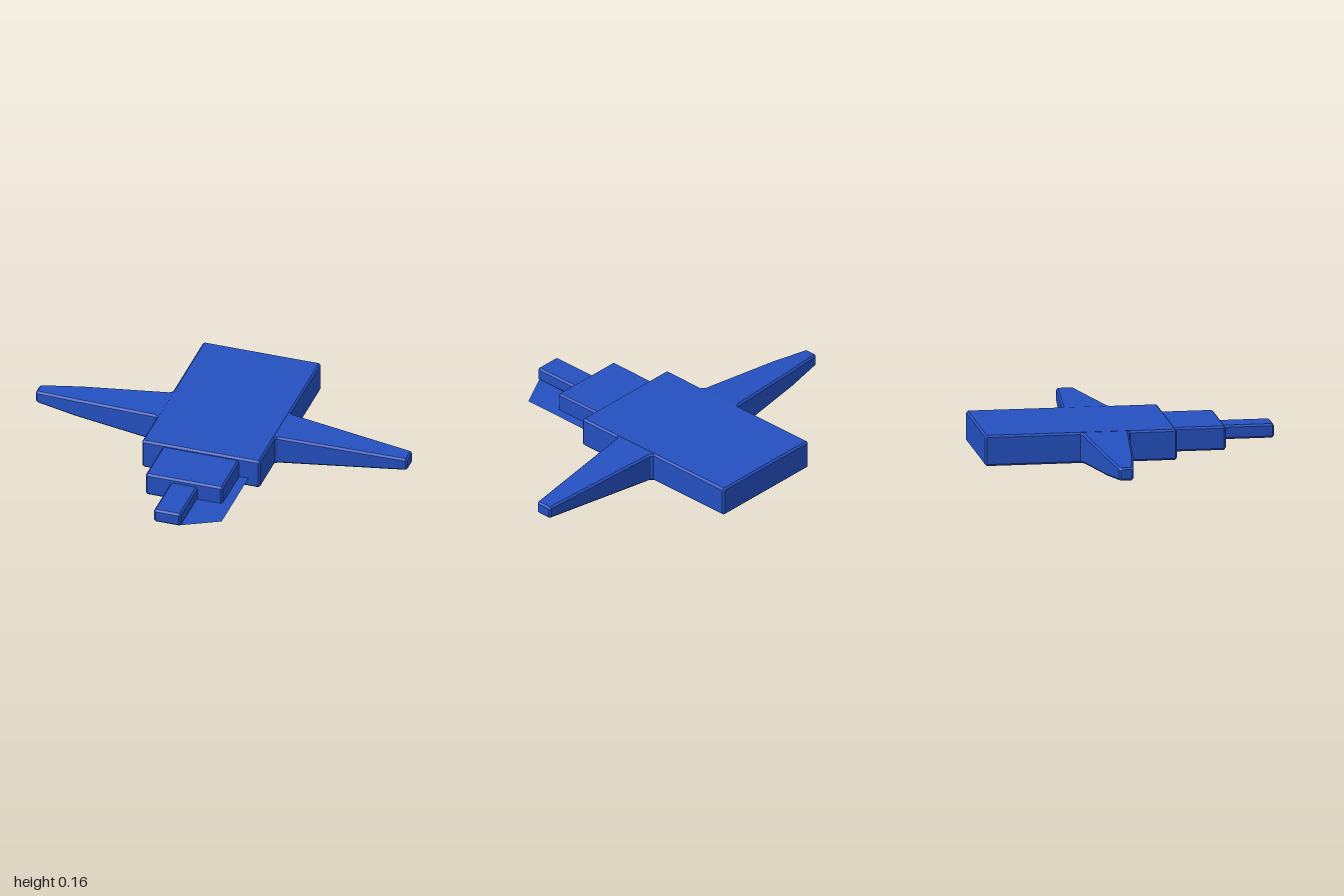
import * as THREE from 'three';

const material = new THREE.MeshStandardMaterial({ color: 0x2450c0, flatShading: true, side: THREE.DoubleSide });

// Loft of chamfered rectangles: stations are [w, u0, u1, v0, v1, chamfer] with rising w.
// place(u, v, w) turns a station point into x, y, z.
function loft(name, stations, place) {
  const rings = stations.map(([w, u0, u1, v0, v1, c]) => [
    [u0 + c, v0], [u1 - c, v0], [u1, v0 + c], [u1, v1 - c],
    [u1 - c, v1], [u0 + c, v1], [u0, v1 - c], [u0, v0 + c],
  ].map(([u, v]) => place(u, v, w)));
  const n = 8, points = [];
  const tri = (a, b, c) => points.push(...a, ...b, ...c);
  for (let k = 0; k < rings.length - 1; k++) {
    for (let i = 0; i < n; i++) {
      const j = (i + 1) % n, p = rings[k], q = rings[k + 1];
      tri(p[i], p[j], q[j]);
      tri(p[i], q[j], q[i]);
    }
  }
  const first = rings[0], last = rings[rings.length - 1];
  for (let i = 1; i < n - 1; i++) {
    tri(first[0], first[i + 1], first[i]);
    tri(last[0], last[i], last[i + 1]);
  }
  const geometry = new THREE.BufferGeometry();
  geometry.setAttribute('position', new THREE.Float32BufferAttribute(points, 3));
  geometry.computeVertexNormals();
  const mesh = new THREE.Mesh(geometry, material);
  mesh.name = name;
  return mesh;
}

// Box with chamfered edges, centred on x
function bevelBox(name, halfWidth, y0, y1, z0, z1, b) {
  const h = halfWidth;
  return loft(name, [
    [z0, -h + b, h - b, y0 + b, y1 - b, b / 3],
    [z0 + b, -h, h, y0, y1, b],
    [z1 - b, -h, h, y0, y1, b],
    [z1, -h + b, h - b, y0 + b, y1 - b, b / 3],
  ], (u, v, w) => [u, v, w]);
}

export function createModel() {
  const group = new THREE.Group();

  // Stepped fuselage
  group.add(bevelBox('body', 0.317, 0, 0.16, -0.765, 0.225, 0.01));
  group.add(bevelBox('neck', 0.207, 0.02, 0.145, 0.2, 0.495, 0.01));
  group.add(bevelBox('nose', 0.073, 0.047, 0.12, 0.47, 0.765, 0.01));

  // Wings along x: [x, y0, y1, z0, z1, chamfer]
  const alongX = (u, v, w) => [w, u, v];
  group.add(loft('leftWing', [
    [0.28, 0.001, 0.159, -0.28, -0.01, 0.01],
    [0.31, 0.001, 0.159, -0.28, -0.01, 0.01],
    [0.33, 0.002, 0.158, -0.265, -0.025, 0.01],
    [0.99, 0.048, 0.116, -0.192, -0.098, 0.01],
    [1.0, 0.058, 0.106, -0.182, -0.108, 0.003],
  ], alongX));
  group.add(loft('rightWing', [
    [-1.0, 0.058, 0.106, -0.173, -0.117, 0.003],
    [-0.99, 0.048, 0.116, -0.183, -0.107, 0.01],
    [-0.78, 0.03, 0.132, -0.215, -0.075, 0.01],
    [-0.33, 0.002, 0.158, -0.265, -0.025, 0.01],
    [-0.31, 0.001, 0.159, -0.28, -0.01, 0.01],
    [-0.28, 0.001, 0.159, -0.28, -0.01, 0.01],
  ], alongX));

  // Thin flat fin on the left of the nose
  const outline = [[0.06, 0.21], [0.257, 0.21], [0.257, 0.655], [0.06, 0.76]];
  const shape = new THREE.Shape(outline.map(([x, z]) => new THREE.Vector2(x, z)));
  const fin = new THREE.Mesh(new THREE.ShapeGeometry(shape).rotateX(Math.PI / 2), material);
  fin.position.y = 0.05;
  fin.name = 'noseFin';
  group.add(fin);

  return group;
}
